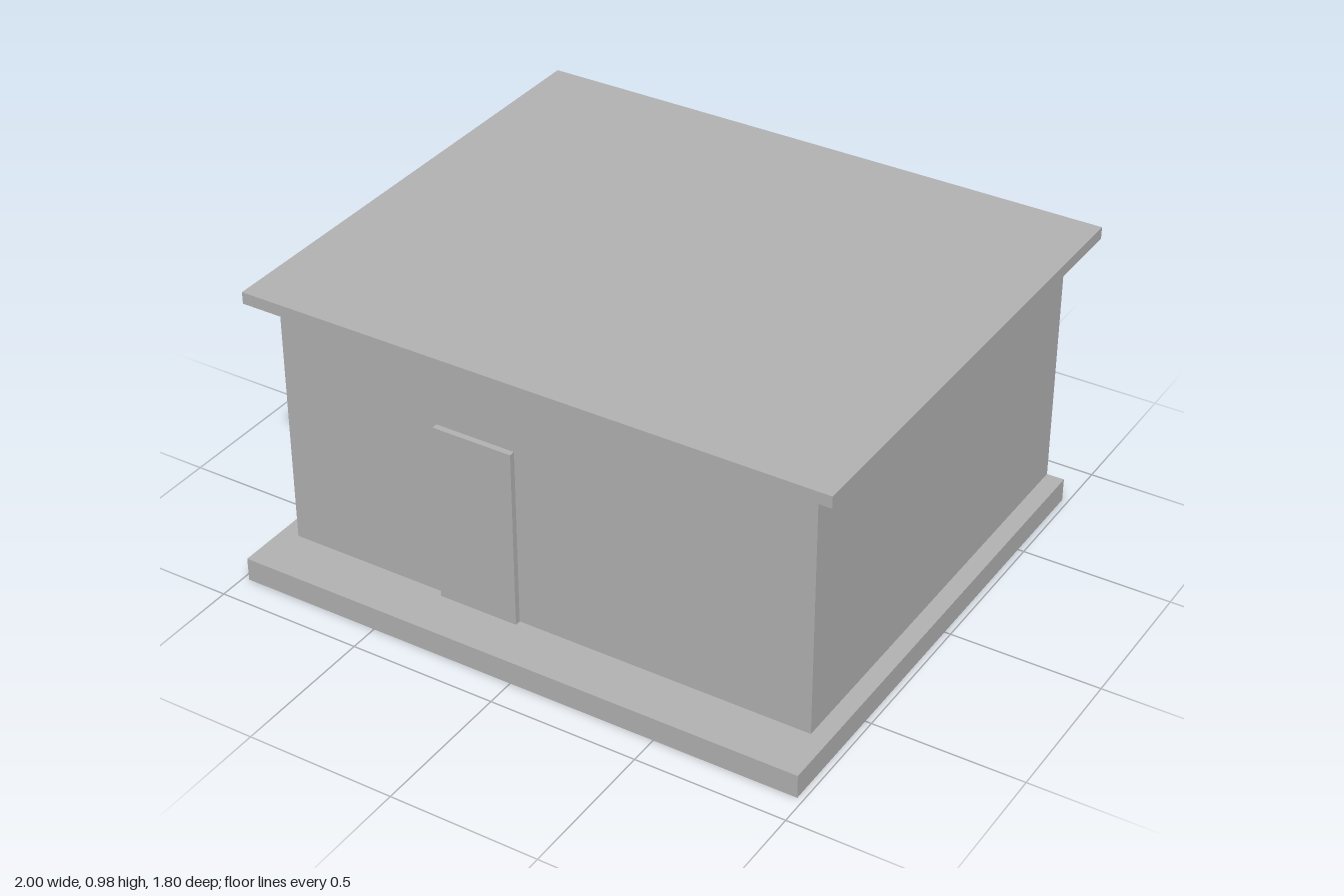
import * as THREE from 'three';

const grey = new THREE.MeshStandardMaterial({ color: 0xb4b4b4 });
grey.name = 'grey';

// Box given by its extents along each axis
function block(name, [x0, x1], [y0, y1], [z0, z1]) {
  const mesh = new THREE.Mesh(new THREE.BoxGeometry(x1 - x0, y1 - y0, z1 - z0), grey);
  mesh.position.set((x0 + x1) / 2, (y0 + y1) / 2, (z0 + z1) / 2);
  mesh.name = name;
  return mesh;
}

export function createModel() {
  const house = new THREE.Group();
  house.name = 'house';

  // Base slab, flush with the back wall and projecting at the front as a porch
  house.add(block('baseSlab', [-0.98, 0.98], [0, 0.08], [-0.82, 0.9]));
  house.add(block('walls', [-0.92, 0.92], [0.08, 0.94], [-0.82, 0.72]));
  // Flat overhanging roof
  house.add(block('roof', [-1, 1], [0.94, 0.98], [-0.9, 0.79]));

  // Door on the front
  house.add(block('door', [-0.36, -0.085], [0.08, 0.695], [0.72, 0.74]));

  // One window at the back, two on the right wall
  const sill = [0.45, 0.695];
  house.add(block('backWindow', [-0.447, -0.173], sill, [-0.84, -0.82]));
  [-0.32, 0.2].forEach((z, i) => {
    house.add(block(`sideWindow${i + 1}`, [-0.94, -0.92], sill, [z - 0.137, z + 0.137]));
  });

  return house;
}
